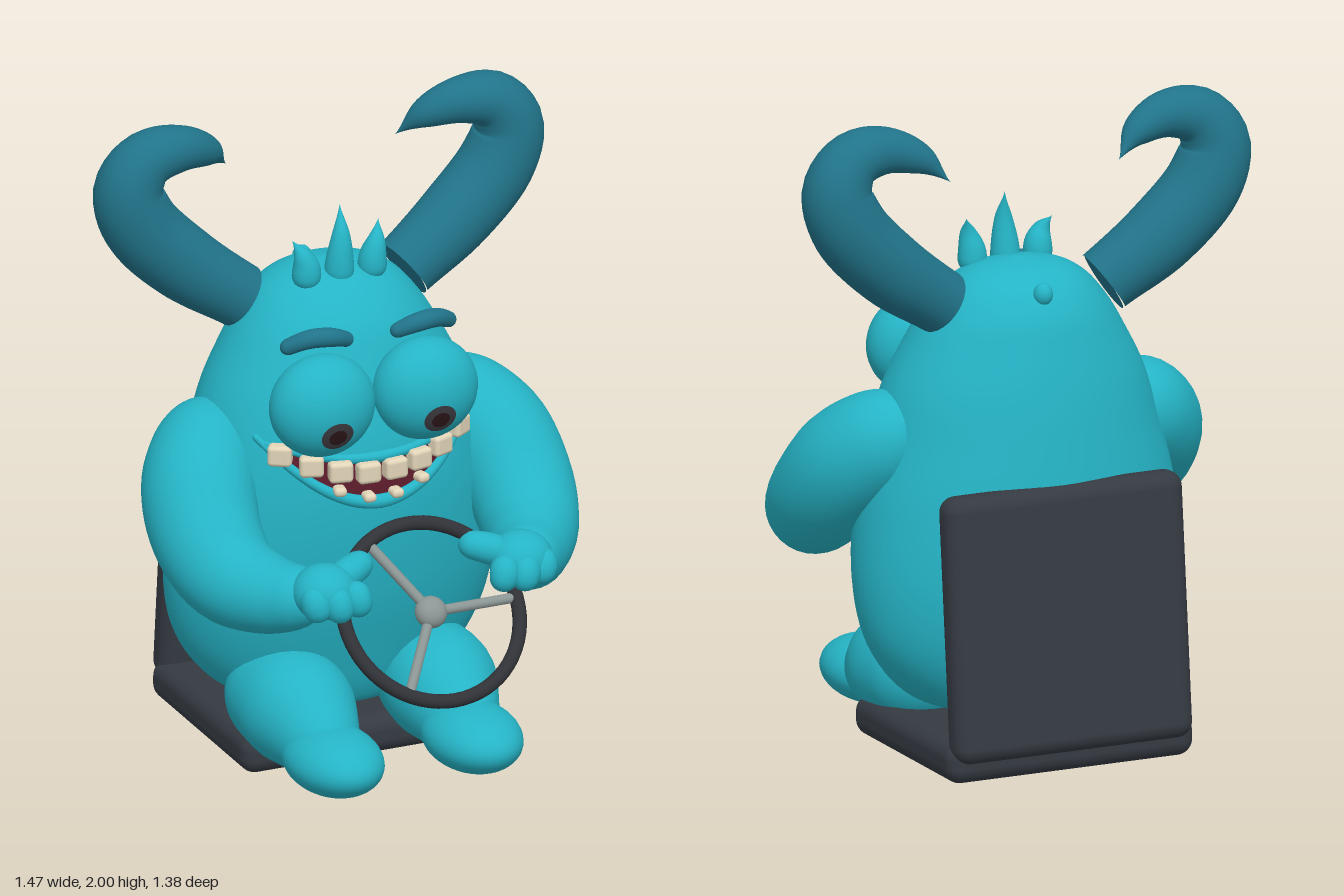
import * as THREE from 'three';
import { mergeVertices } from 'three/addons/utils/BufferGeometryUtils.js';
import { RoundedBoxGeometry } from 'three/addons/geometries/RoundedBoxGeometry.js';

const paint = (name, color, side = THREE.FrontSide) => {
  const m = new THREE.MeshStandardMaterial({ color, side });
  m.name = name;
  return m;
};

// Body outline: [y, half width, front z, back z]
const SECTIONS = [
  [0.12, 0.0, -0.22, -0.22], [0.14, 0.22, -0.06, -0.42], [0.2, 0.37, 0.0, -0.51], [0.35, 0.485, 0.05, -0.57],
  [0.55, 0.525, 0.1, -0.595], [0.8, 0.505, 0.125, -0.585], [1.0, 0.455, 0.115, -0.56],
  [1.15, 0.41, 0.08, -0.535], [1.28, 0.345, 0.035, -0.505], [1.38, 0.285, -0.01, -0.475],
  [1.46, 0.215, -0.08, -0.42], [1.505, 0.13, -0.155, -0.345], [1.525, 0.0, -0.25, -0.25],
];
const sizeCurve = new THREE.SplineCurve(SECTIONS.map(s => new THREE.Vector2(s[0], s[1])));
const depthCurve = new THREE.SplineCurve(SECTIONS.map(s => new THREE.Vector2(s[2], s[3])));

// Height of the body surface towards the front at (x, y)
function frontZ(x, y) {
  let lo = 0, hi = 1;
  for (let i = 0; i < 24; i++) {
    const mid = (lo + hi) / 2;
    if (sizeCurve.getPoint(mid).x < y) lo = mid; else hi = mid;
  }
  const w = sizeCurve.getPoint(lo).y, d = depthCurve.getPoint(lo);
  return (d.x + d.y) / 2 + (d.x - d.y) / 2 * Math.sqrt(Math.max(0, 1 - (x / w) ** 2));
}

function smooth(geo) {
  geo.deleteAttribute('uv');
  geo.deleteAttribute('normal');
  const g = mergeVertices(geo, 1e-5);
  g.computeVertexNormals();
  return g;
}

function bend(geo, rule) {
  const p = geo.attributes.position, v = new THREE.Vector3();
  for (let i = 0; i < p.count; i++) {
    rule(v.fromBufferAttribute(p, i), i);
    p.setXYZ(i, v.x, v.y, v.z);
  }
  return geo;
}

// Tube through [x, y, z, radius] points with rounded ends
function limb(points, { segs = 40, sides = 24, roundStart = true, roundEnd = true } = {}) {
  const curve = new THREE.CatmullRomCurve3(points.map(p => new THREE.Vector3(p[0], p[1], p[2])));
  const radii = new THREE.SplineCurve(points.map((p, i) => new THREE.Vector2(i, p[3])));
  const length = curve.getLength();
  const ease = u => (1 - Math.cos(Math.PI * u)) / 2; // denser rings near the ends
  const path = new THREE.Curve();
  path.getPoint = u => curve.getPointAt(ease(u));
  path.getPointAt = path.getPoint;
  path.getTangentAt = u => curve.getTangentAt(ease(u));
  const geo = new THREE.TubeGeometry(path, segs, 1, sides);
  return smooth(bend(geo, (v, i) => {
    const u = ease(Math.floor(i / (sides + 1)) / segs);
    const c = curve.getPointAt(u);
    let r = Math.max(0, radii.getPoint(curve.getUtoTmapping(u)).y);
    const dome = d => (d < r ? r * Math.sqrt(Math.max(0, 1 - (1 - d / r) ** 2)) : r);
    if (roundStart) r = dome(u * length);
    if (roundEnd) r = dome((1 - u) * length);
    v.sub(c).multiplyScalar(r).add(c);
  }));
}

export function createModel() {
  const model = new THREE.Group();
  model.name = 'hornedMonsterDriver';
  const skin = paint('turquoiseSkin', 0x25b4c6);
  const horn = paint('darkTealHorn', 0x21748a);
  const seatMat = paint('charcoalSeat', 0x353a42);
  const rubber = paint('blackRubber', 0x303237);
  const metal = paint('greyMetal', 0x8b9694);
  const ivory = paint('ivoryTeeth', 0xe2d5b8);
  const maroon = paint('maroonMouth', 0x5e1c2c, THREE.DoubleSide);
  const irisMat = paint('darkGreyIris', 0x3b3a40);
  const pupilMat = paint('brownPupil', 0x2c1618);

  const add = (name, geo, mat, pos = [0, 0, 0], parent = model) => {
    const m = new THREE.Mesh(geo, mat);
    m.name = name;
    m.position.set(...pos);
    parent.add(m);
    return m;
  };
  const ball = (name, mat, pos, radii, parent = model) => {
    const m = add(name, new THREE.SphereGeometry(1, 32, 24), mat, pos, parent);
    m.scale.set(...radii);
    return m;
  };

  // Body
  add('body', smooth(bend(new THREE.CylinderGeometry(1, 1, 1, 56, 72, true), v => {
    const t = v.y + 0.5, s = sizeCurve.getPoint(t), d = depthCurve.getPoint(t);
    v.set(v.x * Math.max(0, s.y), s.x, (d.x + d.y) / 2 + v.z * Math.max(0, d.x - d.y) / 2);
  })), skin);
  ball('backBump', skin, [0, 1.45, -0.435], [0.03, 0.035, 0.03]);

  // Hair spikes
  for (const [x, lean, top, r] of [[-0.11, -0.035, 1.615, 0.045], [0, 0.012, 1.71, 0.046], [0.11, 0.03, 1.64, 0.045]])
    add('hairSpike', limb([[x, 1.46, -0.17, r], [x, 1.53, -0.165, r * 0.95],
      [x + lean * 0.4, (1.53 + top) / 2, -0.165, r * 0.6], [x + lean, top, -0.19, 0]],
    { segs: 20, sides: 18, roundEnd: false }), skin);

  // Mouth, lips and teeth
  const mouthTop = x => 0.995 + 0.5 * x * x;
  const mouthBottom = x => 0.865 + 1.75 * x * x;
  add('mouth', smooth(bend(new THREE.PlaneGeometry(2, 1, 40, 8), v => {
    const x = v.x * 0.32, y = THREE.MathUtils.lerp(mouthBottom(x), mouthTop(x), v.y + 0.5);
    v.set(x, y, frontZ(x, y) + 0.008);
  })), maroon);
  const lip = (edge, reach, r) => {
    const pts = [];
    for (let i = -6; i <= 6; i++) {
      const x = i / 6 * reach, y = edge(x);
      pts.push([x, y, frontZ(x, y) + 0.008, r * (1.15 - 0.6 * Math.abs(i / 6))]);
    }
    return limb(pts, { segs: 60, sides: 12 });
  };
  add('lowerLip', lip(mouthBottom, 0.35, 0.02), skin);
  add('upperLip', lip(x => mouthTop(x) + 0.01, 0.33, 0.016), skin);
  const tooth = (name, x, y, w, h) => {
    const m = add(name, new RoundedBoxGeometry(w, h, 0.05, 3, 0.014), ivory, [x, y, frontZ(x, y) + 0.022]);
    m.rotation.y = Math.atan2(frontZ(x - 0.02, y) - frontZ(x + 0.02, y), 0.04);
  };
  for (const side of [-1, 1]) {
    for (const x of [0.044, 0.13, 0.213, 0.295]) tooth('upperTooth', side * x, 0.967 + 0.75 * x * x, 0.074, 0.066);
    for (const x of [0.045, 0.135]) tooth('lowerTooth', side * x, mouthBottom(x) + 0.022, 0.04, 0.03);
  }

  // Paired parts, each point mirrored for the other side
  for (const s of [1, -1]) {
    const side = s > 0 ? 'left' : 'right';
    const flip = pts => pts.map(([x, ...rest]) => [s * x, ...rest]);

    // Horn with a flat base
    const hornGroup = new THREE.Group();
    hornGroup.name = side + 'Horn';
    model.add(hornGroup);
    add('hornCurve', limb(flip([[0.27, 1.42, -0.29, 0.1], [0.45, 1.55, -0.31, 0.115], [0.592, 1.7, -0.318, 0.117],
      [0.628, 1.82, -0.315, 0.107], [0.575, 1.905, -0.31, 0.09], [0.47, 1.925, -0.31, 0.073],
      [0.36, 1.89, -0.335, 0.047], [0.28, 1.82, -0.375, 0.0]]),
    { segs: 64, sides: 28, roundStart: false, roundEnd: false }), horn, [0, 0, 0], hornGroup);
    const cap = add('hornBase', new THREE.CircleGeometry(0.1, 28), horn, [s * 0.27, 1.42, -0.29], hornGroup);
    cap.lookAt(s * 0.27 - s * 0.18, 1.31, -0.27);

    // Eye with iris and pupil caps
    const eye = new THREE.Group();
    eye.name = side + 'Eye';
    eye.position.set(s * 0.17, 1.185, 0.08);
    eye.scale.set(0.167, 0.16, 0.125);
    model.add(eye);
    add('eyeball', new THREE.SphereGeometry(1, 40, 28), skin, [0, 0, 0], eye);
    for (const [name, r, angle, mat] of [['iris', 1.02, 0.31, irisMat], ['pupil', 1.035, 0.17, pupilMat]])
      add(name, new THREE.SphereGeometry(r, 28, 6, 0, Math.PI * 2, 0, angle), mat, [0, 0, 0], eye).rotation.x = Math.PI / 2 + 0.4;

    // Eyebrow
    add(side + 'Eyebrow', limb(flip([[0.285, 1.365, 0.03, 0.024], [0.21, 1.402, 0.072, 0.029],
      [0.14, 1.402, 0.085, 0.029], [0.065, 1.372, 0.062, 0.022]]), { segs: 28, sides: 16 }), horn);

    // Arm and gripping hand
    add(side + 'Arm', limb(flip([[0.3, 1.04, -0.28, 0.11], [0.4, 1.0, -0.22, 0.155], [0.485, 0.91, -0.12, 0.175],
      [0.515, 0.79, 0.0, 0.168], [0.495, 0.705, 0.13, 0.15], [0.43, 0.685, 0.27, 0.122],
      [0.37, 0.705, 0.38, 0.095], [0.34, 0.72, 0.44, 0.085]]), { segs: 56, sides: 32 }), skin);
    const hand = new THREE.Group();
    hand.name = side + 'Hand';
    model.add(hand);
    ball('palm', skin, [s * 0.325, 0.735, 0.43], [0.1, 0.085, 0.095], hand);
    for (const [x, y, z] of [[0.375, 0.69, 0.485], [0.31, 0.685, 0.505], [0.245, 0.69, 0.495]])
      add('finger', limb([[s * x, y + 0.07, z - 0.04, 0.042], [s * x, y + 0.03, z, 0.046],
        [s * (x - 0.02), y - 0.02, z - 0.015, 0.04]], { segs: 18, sides: 16 }), skin, [0, 0, 0], hand);
    add('thumb', limb(flip([[0.29, 0.75, 0.42, 0.05], [0.22, 0.775, 0.4, 0.048], [0.15, 0.79, 0.365, 0.04]]),
      { segs: 18, sides: 16 }), skin, [0, 0, 0], hand);

    // Leg and foot
    add(side + 'Leg', limb(flip([[0.25, 0.23, -0.25, 0.13], [0.245, 0.205, -0.08, 0.165], [0.235, 0.19, 0.06, 0.175],
      [0.23, 0.15, 0.2, 0.13], [0.225, 0.13, 0.32, 0.09]]), { sides: 32 }), skin);
    ball(side + 'Foot', skin, [s * 0.23, 0.12, 0.29], [0.145, 0.1, 0.2]);
  }

  // Steering wheel: rim, hub and three spokes
  const wheel = new THREE.Group();
  wheel.name = 'steeringWheel';
  wheel.position.set(0, 0.637, 0.495);
  wheel.rotation.x = -0.67;
  model.add(wheel);
  add('rim', new THREE.TorusGeometry(0.283, 0.022, 16, 64), rubber, [0, 0, 0], wheel);
  ball('hub', metal, [0, 0, 0], [0.05, 0.05, 0.04], wheel);
  for (let i = 0; i < 3; i++) {
    const a = i * Math.PI * 2 / 3;
    add('spoke', new THREE.CylinderGeometry(0.016, 0.016, 0.28, 12), metal,
      [Math.cos(a) * 0.14, Math.sin(a) * 0.14, 0], wheel).rotation.z = a - Math.PI / 2;
  }

  // Seat cushion and leaning backrest
  add('seatCushion', new RoundedBoxGeometry(0.82, 0.125, 0.71, 5, 0.05), seatMat, [0, 0.066, -0.3]).rotation.x = 0.015;
  add('seatBack', new RoundedBoxGeometry(0.79, 0.82, 0.115, 5, 0.05), seatMat, [0, 0.48, -0.593]).rotation.x = 0.1;

  return model;
}
